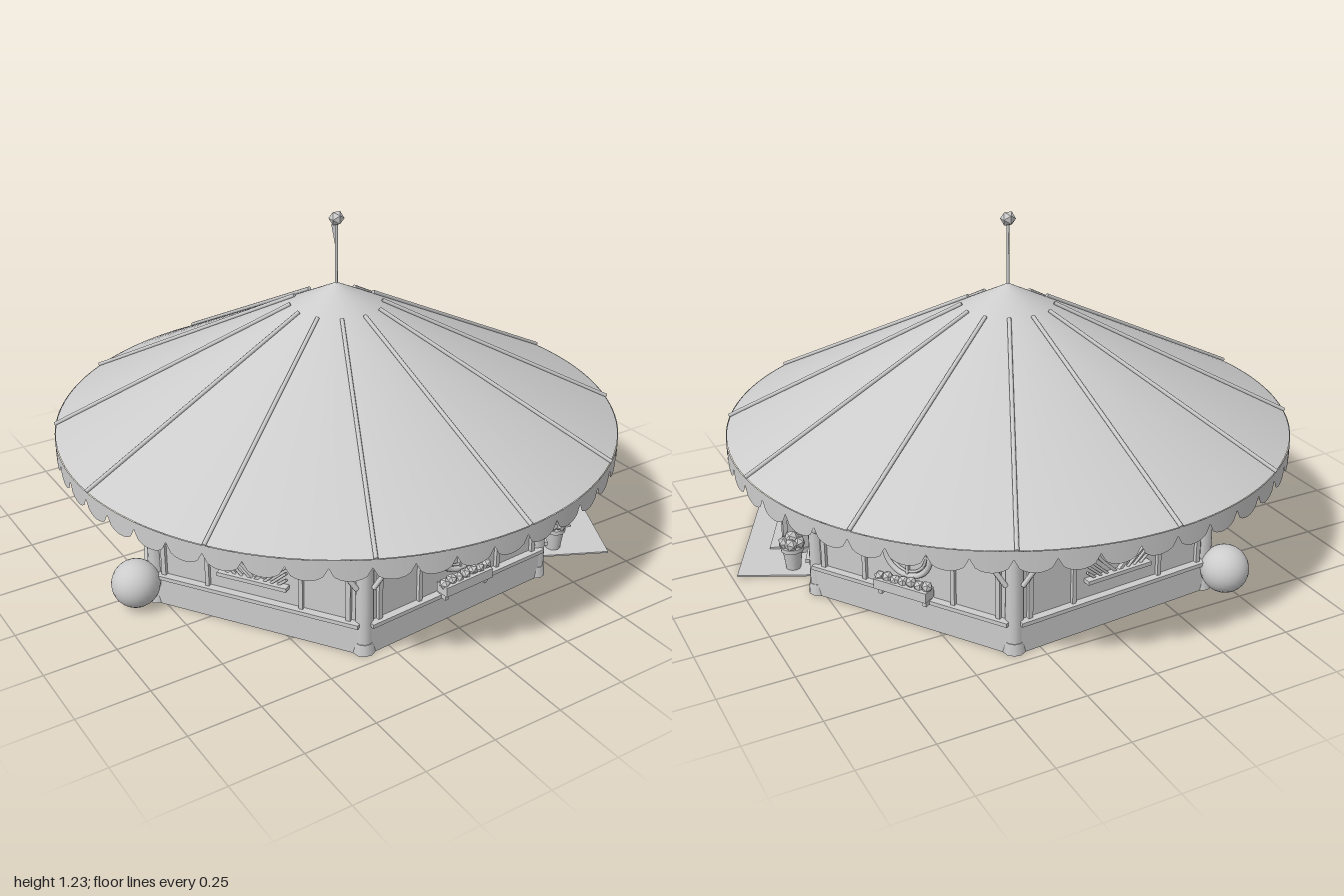
import * as THREE from 'three';

const grey = new THREE.MeshStandardMaterial({ color: 0xcccccc, side: THREE.DoubleSide });
grey.name = 'light grey';

const RAD = Math.PI / 180;
const APOTHEM = 0.665; // wall distance from the centre
const CORNER = 0.758;  // post distance from the centre
const EAVES = 0.49;    // height of the canopy's flat underside

function add(parent, name, geometry, x = 0, y = 0, z = 0) {
  const mesh = new THREE.Mesh(geometry, grey);
  mesh.name = name;
  mesh.position.set(x, y, z);
  parent.add(mesh);
  return mesh;
}
const box = (p, name, w, h, d, x, y, z) => add(p, name, new THREE.BoxGeometry(w, h, d), x, y, z);

// Straight rod between two points
function rod(parent, name, a, b, r, sides = 8) {
  const from = new THREE.Vector3(...a), to = new THREE.Vector3(...b);
  const mesh = add(parent, name, new THREE.CylinderGeometry(r, r, from.distanceTo(to), sides));
  mesh.position.copy(from).lerp(to, 0.5);
  mesh.quaternion.setFromUnitVectors(new THREE.Vector3(0, 1, 0), to.sub(from).normalize());
  return mesh;
}

// Faceted tuft of leaves or blossoms
function tuft(parent, name, x, y, z, r) {
  const mesh = add(parent, name, new THREE.IcosahedronGeometry(r, 0), x, y, z);
  mesh.rotation.set(x * 40, y * 30, z * 20);
  return mesh;
}

// Group whose +z points outwards at the given angle from +x
function side(parent, name, degrees) {
  const g = new THREE.Group();
  g.name = name;
  g.rotation.y = (90 - degrees) * RAD;
  parent.add(g);
  return g;
}

function roof(model) {
  const g = new THREE.Group();
  g.name = 'roof';
  model.add(g);
  // Closed canopy, its base being the ceiling and soffit
  add(g, 'canopy', new THREE.ConeGeometry(0.988, 0.49, 96), 0, EAVES + 0.245, 0);
  // Scalloped valance
  const count = 48, steps = 8;
  const valance = new THREE.PlaneGeometry(1, 1, count * steps, 1);
  const p = valance.attributes.position;
  for (let i = 0; i < p.count; i++) {
    const k = i % (count * steps + 1);
    const s = (k % steps) / steps * 2 - 1;
    const a = (k / (count * steps)) * Math.PI * 2 - 4 * RAD;
    const y = p.getY(i) > 0 ? EAVES : 0.462 - 0.045 * Math.sqrt(Math.max(0, 1 - s * s));
    p.setXYZ(i, 0.99 * Math.sin(a), y, 0.99 * Math.cos(a));
  }
  valance.computeVertexNormals();
  add(g, 'valance', valance);
  // Ribs
  for (let i = 0; i < 12; i++) {
    const rib = side(g, 'rib', -4 + 30 * i);
    rod(rib, 'ribBar', [0, 0.906, 0.16], [0, 0.493, 0.992], 0.007);
  }
  // Flagpole, finial and pennant
  add(g, 'flagpole', new THREE.CylinderGeometry(0.005, 0.005, 0.24, 8), 0, 1.08, 0);
  add(g, 'finial', new THREE.IcosahedronGeometry(0.027, 0), 0, 1.207, 0);
  const flag = new THREE.BufferGeometry();
  flag.setAttribute('position', new THREE.Float32BufferAttribute(
    [0, 1.085, 0, 0.073, 1.132, -0.148, 0, 1.18, 0], 3));
  flag.computeVertexNormals();
  add(g, 'pennant', flag);
}

// Framing shared by every wall
function frame(g) {
  box(g, 'topBeam', 0.74, 0.03, 0.03, 0, 0.47, APOTHEM + 0.01);
  for (const s of [-1, 1]) {
    box(g, 'edgeBatten', 0.016, 0.34, 0.018, s * 0.335, 0.285, APOTHEM + 0.012);
    rod(g, 'brace', [s * 0.365, 0.245, 0.685], [s * 0.305, 0.34, 0.71], 0.009, 6);
  }
  // Hanging bulbs
  for (const [x, y] of [[-0.25, 0.405], [-0.14, 0.43], [0, 0.44], [0.14, 0.43], [0.25, 0.405]]) {
    rod(g, 'bulbWire', [x, y, 0.72], [x, EAVES, 0.72], 0.002, 4);
    add(g, 'bulb', new THREE.SphereGeometry(0.012, 8, 6), x, y - 0.008, 0.72).scale.y = 1.5;
  }
}

function plainWall(g) {
  box(g, 'wallPanel', 0.75, EAVES, 0.016, 0, EAVES / 2, APOTHEM);
  box(g, 'skirt', 0.75, 0.105, 0.026, 0, 0.0525, APOTHEM + 0.006);
  box(g, 'rail', 0.75, 0.014, 0.046, 0, 0.112, APOTHEM + 0.012);
  for (const s of [-1, 1]) box(g, 'batten', 0.014, 0.34, 0.018, s * 0.17, 0.285, APOTHEM + 0.012);
  frame(g);
}

function flowerBox(g) {
  box(g, 'flowerBox', 0.2, 0.035, 0.05, 0, 0.148, APOTHEM + 0.045);
  for (const s of [-1, 1]) box(g, 'flowerBoxBracket', 0.014, 0.03, 0.04, s * 0.085, 0.122, APOTHEM + 0.035);
  for (let i = -3; i <= 3; i++) tuft(g, 'blossom', i * 0.03, 0.172 + (i % 2) * 0.005, APOTHEM + 0.045, 0.02);
}

function roundWindow(g) {
  const z = APOTHEM + 0.016;
  add(g, 'windowFrame', new THREE.TorusGeometry(0.086, 0.01, 8, 32), 0, 0.265, z);
  add(g, 'windowInnerRing', new THREE.TorusGeometry(0.07, 0.005, 6, 32), 0, 0.265, z);
  box(g, 'windowBar', 0.17, 0.009, 0.012, 0, 0.265, z);
  box(g, 'windowBar', 0.009, 0.17, 0.012, 0, 0.265, z);
  flowerBox(g);
}

function heartShape(k, Type) {
  const h = new Type();
  h.moveTo(0, -k);
  h.bezierCurveTo(-0.3 * k, -0.6 * k, -k, -0.2 * k, -k, 0.35 * k);
  h.bezierCurveTo(-k, k, -0.2 * k, k, 0, 0.5 * k);
  h.bezierCurveTo(0.2 * k, k, k, k, k, 0.35 * k);
  h.bezierCurveTo(k, -0.2 * k, 0.3 * k, -0.6 * k, 0, -k);
  return h;
}

function heartWindow(g) {
  const z = APOTHEM + 0.008;
  const heart = heartShape(0.095, THREE.Shape);
  heart.holes.push(heartShape(0.08, THREE.Path));
  add(g, 'heartFrame', new THREE.ExtrudeGeometry(heart, { depth: 0.014, bevelEnabled: false }), 0, 0.267, z);
  box(g, 'heartSill', 0.25, 0.014, 0.03, 0, 0.185, z + 0.012);
  // Triangular corner trellises
  for (const s of [-1, 1]) {
    for (const k of [0.03, 0.055, 0.08]) {
      rod(g, 'trellisSlat', [s * 0.12, 0.185 + k, z + 0.01], [s * (0.12 - k), 0.19, z + 0.01], 0.005, 6);
    }
  }
}

function doorWall(g) {
  // Wall with the opening cut out
  const wall = new THREE.Shape();
  [[-0.375, 0], [-0.155, 0], [-0.155, 0.37], [0.155, 0.37], [0.155, 0], [0.375, 0], [0.375, EAVES], [-0.375, EAVES]]
    .forEach(([x, y], i) => (i ? wall.lineTo(x, y) : wall.moveTo(x, y)));
  add(g, 'doorWallPanel', new THREE.ExtrudeGeometry(wall, { depth: 0.016, bevelEnabled: false }), 0, 0, APOTHEM - 0.008);
  box(g, 'lintel', 0.35, 0.022, 0.035, 0, 0.375, APOTHEM + 0.01);
  for (const s of [-1, 1]) {
    box(g, 'skirt', 0.21, 0.105, 0.026, s * 0.27, 0.0525, APOTHEM + 0.006);
    box(g, 'rail', 0.21, 0.014, 0.046, s * 0.27, 0.112, APOTHEM + 0.012);
    box(g, 'doorJamb', 0.02, 0.37, 0.035, s * 0.163, 0.185, APOTHEM + 0.01);
    // Door leaf swung open
    const leaf = new THREE.Group();
    leaf.name = 'doorLeaf';
    leaf.position.set(s * 0.16, 0, APOTHEM + 0.02);
    leaf.rotation.y = s * 22 * RAD;
    g.add(leaf);
    box(leaf, 'leafPanel', 0.014, 0.31, 0.12, 0, 0.195, 0.063);
    for (const y of [0.05, 0.19, 0.34]) box(leaf, 'leafCrossbar', 0.024, 0.018, 0.12, 0, y, 0.063);
    for (const z of [0.012, 0.115]) box(leaf, 'leafStile', 0.024, 0.31, 0.016, 0, 0.195, z);
    // Potted plant
    const x = s * 0.228, z = 0.765;
    add(g, 'pot', new THREE.CylinderGeometry(0.036, 0.026, 0.075, 12), x, 0.043, z);
    add(g, 'potRim', new THREE.CylinderGeometry(0.041, 0.041, 0.015, 12), x, 0.084, z);
    for (let i = 0; i < 5; i++) {
      const a = i * 72 * RAD;
      tuft(g, 'potLeaf', x + 0.026 * Math.cos(a), 0.108, z + 0.026 * Math.sin(a), 0.024);
    }
    tuft(g, 'potLeaf', x, 0.122, z, 0.027);
  }
  // Fanned awning slats
  for (let i = -3; i <= 3; i++) {
    const slat = box(g, 'awningSlat', 0.032, 0.008, 0.1, i * 0.045, 0.395, 0.72);
    slat.rotation.set(35 * RAD, i * 8 * RAD, 0);
  }
  // Hanging round sign
  const sign = add(g, 'roundSign', new THREE.CylinderGeometry(0.055, 0.055, 0.018, 24), 0.25, 0.355, 0.78);
  sign.rotation.z = Math.PI / 2;
  add(g, 'signRim', new THREE.TorusGeometry(0.055, 0.008, 6, 24), 0.25, 0.355, 0.78).rotation.y = Math.PI / 2;
  rod(g, 'signBracket', [0.25, 0.42, APOTHEM], [0.25, 0.42, 0.83], 0.006);
  // Paving and door mat
  box(g, 'paving', 0.57, 0.006, 0.31, 0, 0.003, 0.8);
  box(g, 'doorMat', 0.21, 0.008, 0.15, 0, 0.012, 0.79);
  frame(g);
}

export function createModel() {
  const model = new THREE.Group();
  model.name = 'roundPavilion';
  roof(model);

  // Six walls: the door, then windows and hearts in turn
  doorWall(side(model, 'doorWall', 26));
  for (let i = 1; i < 6; i++) {
    const round = i % 2 === 1;
    const g = side(model, round ? 'windowWall' : 'heartWall', 26 + 60 * i);
    plainWall(g);
    (round ? roundWindow : heartWindow)(g);
  }

  // Corner posts
  for (let i = 0; i < 6; i++) {
    const g = side(model, 'cornerPost', -4 + 60 * i);
    add(g, 'post', new THREE.CylinderGeometry(0.028, 0.031, EAVES, 10), 0, EAVES / 2, CORNER);
    add(g, 'postBase', new THREE.CylinderGeometry(0.033, 0.038, 0.04, 10), 0, 0.02, CORNER);
    // Round ornaments at two rear corners
    if (i === 3 || i === 4) add(g, 'ball', new THREE.SphereGeometry(0.083, 24, 16), 0, 0.09, 0.84);
  }
  return model;
}
